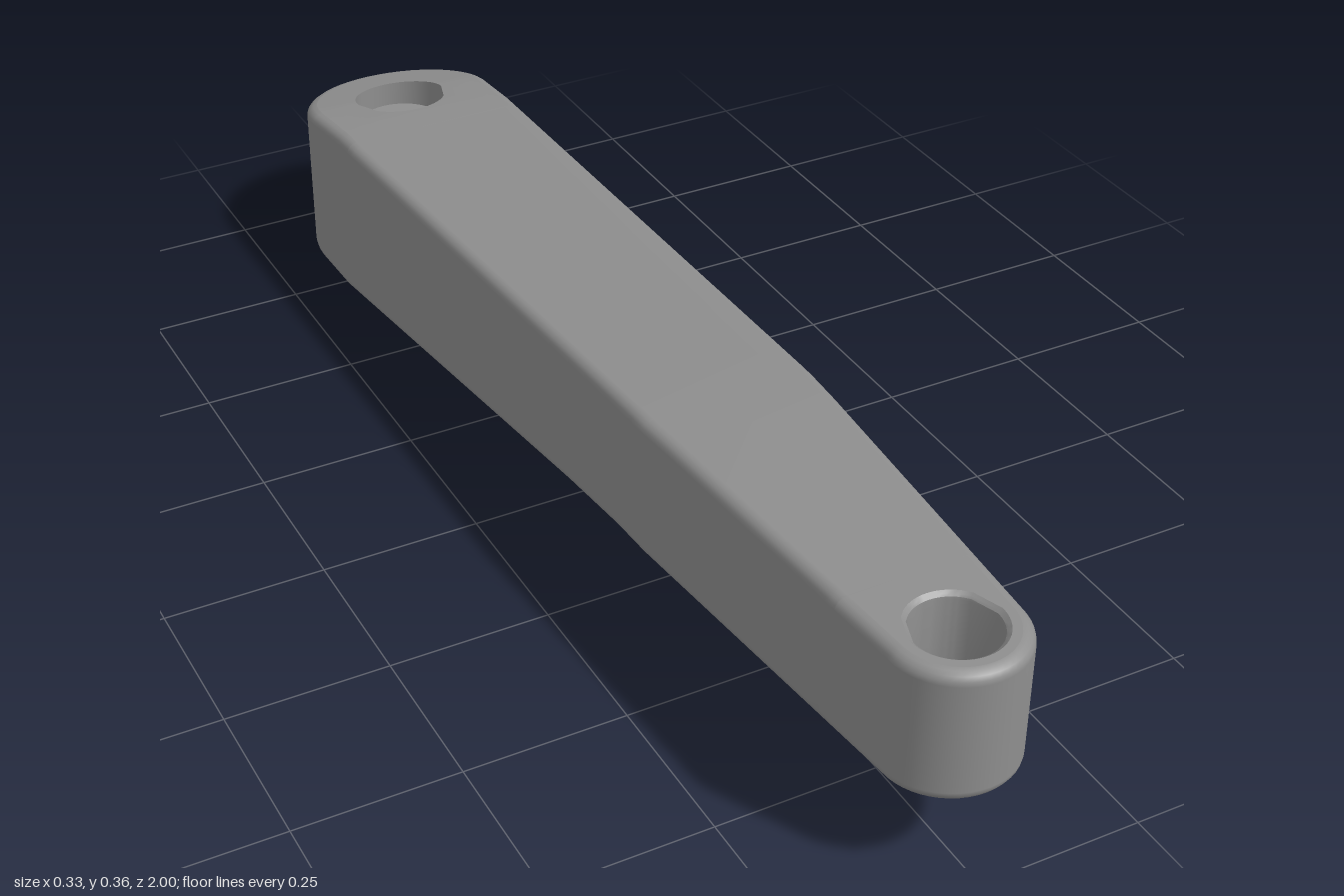
import * as THREE from 'three';
import { mergeGeometries, mergeVertices, toCreasedNormals } from 'three/addons/utils/BufferGeometryUtils.js';

const V = (x, y, z) => new THREE.Vector3(x, y, z);

// Piecewise linear profile along z (table runs from front to back)
const profile = (table) => (z) => {
  let i = 0;
  while (i < table.length - 2 && z < table[i + 1][0]) i++;
  const [z0, v0] = table[i], [z1, v1] = table[i + 1];
  return v0 + (v1 - v0) * THREE.MathUtils.clamp((z - z0) / (z1 - z0), 0, 1);
};
const topY = profile([[1, 0.357], [0.4, 0.357], [0.3, 0.354], [-0.75, 0.3], [-0.85, 0.287], [-1, 0.255]]);
const botY = profile([[1, 0.15], [0.25, 0.122], [0.1, 0.107], [-0.73, 0], [-1, 0]]);
const halfW = profile([[0.9, 0.1], [0.33, 0.139], [-0.837, 0.163]]);
const hollowW = profile([[0.79, 0.066], [0.33, 0.107], [-0.69, 0.12]]);

const R = 0.018; // edge rounding
const RC = 0.022; // corner radius of the hollow in plan
const STEPS = 24; // segments of each round end
const stations = [0.79, 0.788, 0.783, 0.777, 0.768, 0.6, 0.4, 0.33, 0.3, 0.25, 0.1,
  -0.2, -0.5, -0.668, -0.677, -0.683, -0.688, -0.69];
const front = { c: 0.9, r: 0.1, s: 1, chord: 0.79, extra: [0.83] };
const back = { c: -0.837, r: 0.163, s: -1, chord: -0.69, extra: [-0.73] };

// Skin over rows of points; the face looks along (column direction x row direction)
function surface(rows, closed = false) {
  const pos = [];
  for (let i = 0; i < rows.length - 1; i++) {
    const n = rows[i].length;
    for (let j = 0; j < (closed ? n : n - 1); j++) {
      const k = (j + 1) % n;
      const a = rows[i][j], b = rows[i][k], c = rows[i + 1][k], d = rows[i + 1][j];
      for (const p of [a, b, c, a, c, d]) pos.push(p.x, p.y, p.z);
    }
  }
  const g = new THREE.BufferGeometry();
  g.setAttribute('position', new THREE.Float32BufferAttribute(pos, 3));
  return g;
}

// Round end in plan, from +x to -x
function arc(end, inset) {
  return Array.from({ length: STEPS + 1 }, (_, i) => {
    const a = (Math.PI * i) / STEPS, r = end.r - inset;
    return V(Math.cos(a) * r, 0, end.c + end.s * Math.sin(a) * r);
  });
}
const sidePoints = (zs, sx, inset) => zs.map((z) => V(sx * (halfW(z) - inset), 0, z));

// Whole plan outline, counterclockwise from above
function outline(inset) {
  const zs = [...front.extra, ...stations, ...back.extra];
  return [
    ...arc(front, inset).reverse(),
    ...sidePoints(zs, 1, inset),
    ...arc(back, inset),
    ...sidePoints([...zs].reverse(), -1, inset),
  ];
}

// Plan outline of one end, closed by a straight chord
function endLoop(end) {
  const w = halfW(end.chord) - R;
  const chord = Array.from({ length: 17 }, (_, i) => V(w * (i / 8 - 1), 0, end.chord));
  const pts = [
    ...arc(end, R),
    ...sidePoints([...end.extra].reverse(), -1, R),
    ...chord,
    ...sidePoints(end.extra, 1, R),
  ];
  return end.s > 0 ? pts.reverse() : pts;
}

const lift = (loop, fn) => loop.map((p) => V(p.x, fn(p.z), p.z));

// Rows spreading from one plan loop to another on a height profile
const spread = (from, to, fn) =>
  [0, 0.2, 0.4, 0.6, 0.8, 1].map((t) => lift(from.map((p, i) => p.clone().lerp(to[i], t)), fn));

// Circle or square around an end's axis, matched to the end's outline
function ring(end, loop, size, square = false) {
  return loop.map((p) => {
    const x = p.x, z = p.z - end.c;
    const k = size / (square ? Math.max(Math.abs(x), Math.abs(z)) : Math.hypot(x, z));
    return V(x * k, 0, end.c + z * k);
  });
}

// Half width of the hollow, rounded off at its four corners
function pocketW(z) {
  const d = Math.min(RC, front.chord - z, z - back.chord);
  return hollowW(z) - RC + Math.sqrt(RC * RC - (RC - d) ** 2);
}

// Outer sides with rounded edges, top face and the two lower rails
function shellGeometry() {
  const rows = [];
  const angles = [0, 1, 2, 3, 4].map((i) => (i * Math.PI) / 8);
  for (const a of angles)
    rows.push(lift(outline(R - R * Math.sin(a)), (z) => botY(z) + R - R * Math.cos(a)));
  for (const a of angles)
    rows.push(lift(outline(R - R * Math.cos(a)), (z) => topY(z) - R + R * Math.sin(a)));
  const top = stations.map((z) => [-1, 1].map((s) => V(s * (halfW(z) - R), topY(z), z)));
  const rail = (s) => stations.map((z) => {
    const pair = [V(s * (halfW(z) - R), botY(z), z), V(s * (pocketW(z) + 0.008), botY(z), z)];
    return s > 0 ? pair : pair.reverse();
  });
  // Shared corners give area-weighted normals, so the long faces stay even
  const shell = mergeVertices(
    mergeGeometries([surface(rows, true), surface(top), surface(rail(1)), surface(rail(-1))]), 1e-5);
  shell.computeVertexNormals();
  return shell;
}

// Spindle end: counterbore, bolt hole and tapered square socket
function spindleGeometry() {
  const loop = endLoop(back);
  const circle = (r) => ring(back, loop, r);
  const sq = (a) => ring(back, loop, a, true);
  const at = (l, y) => lift(l, () => y);
  return surface([
    ...spread(loop, circle(0.078), topY),
    at(circle(0.078), 0.232),
    at(circle(0.042), 0.232),
    at(circle(0.042), 0.19),
    at(sq(0.062), 0.19),
    at(sq(0.07), 0),
    ...spread(sq(0.07), loop, botY).slice(1),
  ], true);
}

// Pedal end: plain through hole with eased rims
function pedalGeometry() {
  const loop = endLoop(front);
  const eased = [[0.069, 0], [0.065, 0.003], [0.0625, 0.006], [0.062, 0.01]]
    .map(([r, h]) => [ring(front, loop, r), h]);
  const wide = eased[0][0];
  return surface([
    ...spread(loop, wide, topY),
    ...eased.slice(1).map(([l, h]) => lift(l, (z) => topY(z) - h)),
    ...eased.slice(1).reverse().map(([l, h]) => lift(l, (z) => botY(z) + h)),
    ...spread(wide, loop, botY),
  ], true);
}

// Hollow underside with drafted walls
function pocketGeometry() {
  const half = (z, s) => {
    const w = pocketW(z), b = botY(z), c = topY(z) - 0.05;
    return [[w + 0.008, b], [w + 0.002, b + 0.003], [w, b + 0.01], [w - 0.007, c - 0.022],
      [w - 0.013, c - 0.007], [w - 0.028, c]].map(([x, y]) => V(s * x, y, z));
  };
  const zF = front.chord, zB = back.chord;
  return mergeGeometries([
    surface(stations.map((z) => [...half(z, 1), ...half(z, -1).reverse()])),
    surface([half(zB, 1), half(zB, -1)]),
    surface([half(zF, -1), half(zF, 1)]),
  ]);
}

export function createModel() {
  const group = new THREE.Group();
  group.name = 'crankArm';
  const material = new THREE.MeshStandardMaterial({ color: 0x8e8e8e });
  const parts = {
    armShell: shellGeometry(),
    spindleEnd: toCreasedNormals(spindleGeometry(), 0.5),
    pedalEnd: toCreasedNormals(pedalGeometry(), 0.5),
    undersidePocket: toCreasedNormals(pocketGeometry(), 0.6),
  };
  for (const [name, geometry] of Object.entries(parts)) {
    const mesh = new THREE.Mesh(geometry, material);
    mesh.name = name;
    group.add(mesh);
  }
  return group;
}
